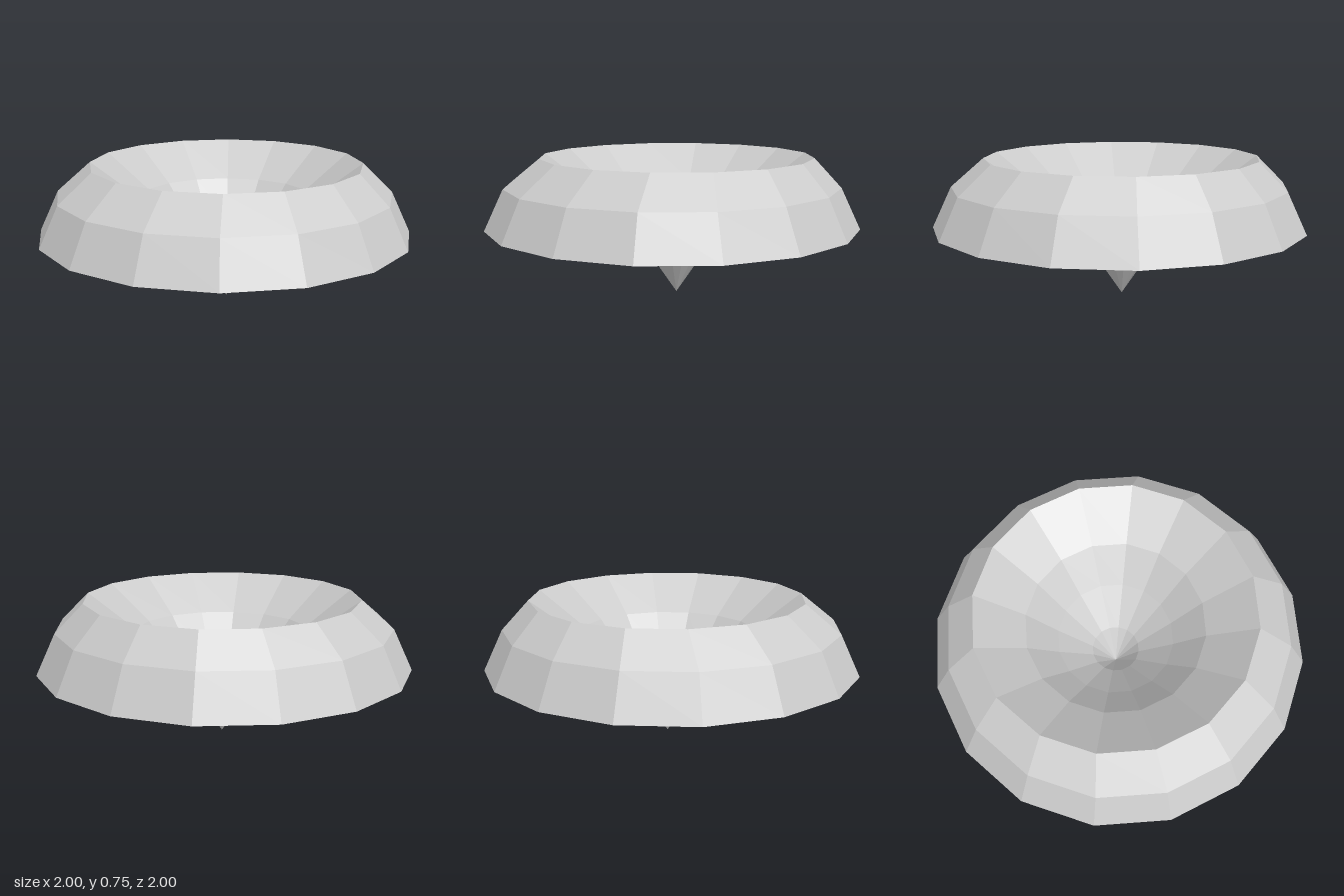
import * as THREE from 'three';

const SIDES = 16;
const SHIFT = -0.024; // the funnel sits slightly behind the centre of the skirt

// Faceted surface of revolution from rings of [radius, height, z shift]
function facetedShell(name, rings) {
  const geometry = new THREE.LatheGeometry(rings.map(([r, y]) => new THREE.Vector2(r, y)), SIDES);
  const pos = geometry.attributes.position;
  for (let i = 0; i < pos.count; i++) {
    pos.setZ(i, pos.getZ(i) + rings[i % rings.length][2]);
  }
  geometry.computeVertexNormals();
  const material = new THREE.MeshStandardMaterial({
    color: 0xcccccc, flatShading: true, side: THREE.DoubleSide,
  });
  const mesh = new THREE.Mesh(geometry, material);
  mesh.name = name;
  return mesh;
}

export function createModel() {
  const group = new THREE.Group();
  group.name = 'funnelBowl';

  // Outer skirt, open underneath, rising to the shared rim
  group.add(facetedShell('outerSkirt', [
    [1, 0.38, 0], [0.897, 0.597, 0], [0.731, 0.75, SHIFT],
  ]));

  // Inner funnel, falling from the rim to a point
  group.add(facetedShell('innerFunnel', [
    [0.731, 0.75, SHIFT], [0.477, 0.56, SHIFT], [0.315, 0.377, SHIFT],
    [0.13, 0.192, SHIFT], [0, 0, SHIFT],
  ]));

  return group;
}
